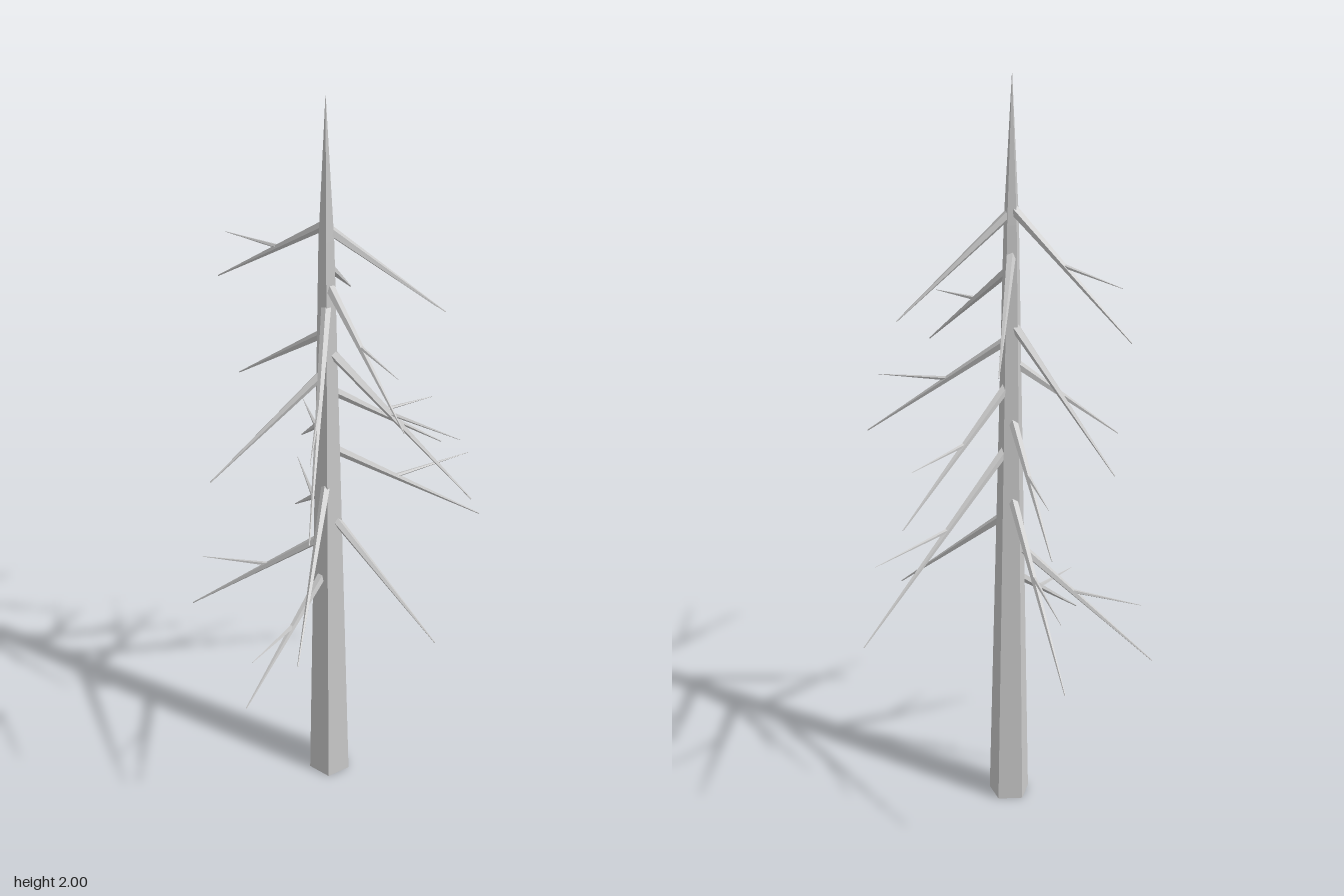
import * as THREE from 'three';

const AXIS_X = -0.083, AXIS_Z = 0.02;

// Branches: height on trunk, tip x, y, z, and whether it carries a twig
const BRANCHES = [
  [1.66, -0.188, 1.39, -0.295, true],
  [1.65, 0.17, 1.395, 0.141, false],
  [1.55, 0.097, 1.335, -0.151, false],
  [1.505, -0.052, 1.225, 0.297, true],
  [1.45, -0.355, 1.07, 0.359, true],
  [1.365, -0.122, 1.07, -0.319, false],
  [1.32, 0.109, 1.0, 0.347, true],
  [1.26, -0.369, 0.995, -0.056, false],
  [1.205, 0.255, 0.91, 0.018, true],
  [1.115, 0.018, 0.86, -0.256, true],
  [1.035, 0.382, 0.628, 0.017, true],
  [0.945, -0.336, 0.635, 0.272, false],
  [0.9, 0.065, 0.55, -0.365, true],
  [0.84, 0.043, 0.555, 0.305, false],
  [0.765, -0.311, 0.45, -0.269, true],
  [0.67, -0.386, 0.405, 0.109, true],
];

export function createModel() {
  const model = new THREE.Group();
  model.name = 'deadTree';
  const bark = new THREE.MeshStandardMaterial({
    color: 0xcacaca, flatShading: true, side: THREE.DoubleSide,
  });
  bark.name = 'greyBark';

  // Tapered, slightly blunt spike from one point to another
  const spike = (name, from, to, radius) => {
    const dir = to.clone().sub(from);
    const length = dir.length();
    const geo = new THREE.CylinderGeometry(radius * 0.12, radius, length, 5);
    geo.translate(0, length / 2, 0);
    const mesh = new THREE.Mesh(geo, bark);
    mesh.name = name;
    mesh.position.copy(from);
    mesh.quaternion.setFromUnitVectors(new THREE.Vector3(0, 1, 0), dir.normalize());
    return mesh;
  };

  // Five-sided trunk, open underneath: long taper, then a pointed top
  const profile = [[0.053, 0], [0.019, 1.62], [0, 2]];
  const trunk = new THREE.Mesh(
    new THREE.LatheGeometry(profile.map(([r, y]) => new THREE.Vector2(r, y)), 5, Math.PI), bark);
  trunk.name = 'trunk';
  trunk.position.set(AXIS_X, 0, AXIS_Z);
  model.add(trunk);

  // Drooping branches, some with a nearly level twig
  BRANCHES.forEach(([height, x, y, z, hasTwig]) => {
    const base = new THREE.Vector3(AXIS_X, height, AXIS_Z);
    const tip = new THREE.Vector3(x, y, z);
    const group = new THREE.Group();
    group.name = 'branch';
    group.add(spike('branchLimb', base, tip, 0.0125));
    if (hasTwig) {
      const start = base.clone().lerp(tip, 0.43);
      const end = base.clone().lerp(tip, 0.915);
      end.y = start.y - 0.02;
      group.add(spike('twig', start, end, 0.0055));
    }
    model.add(group);
  });
  return model;
}
